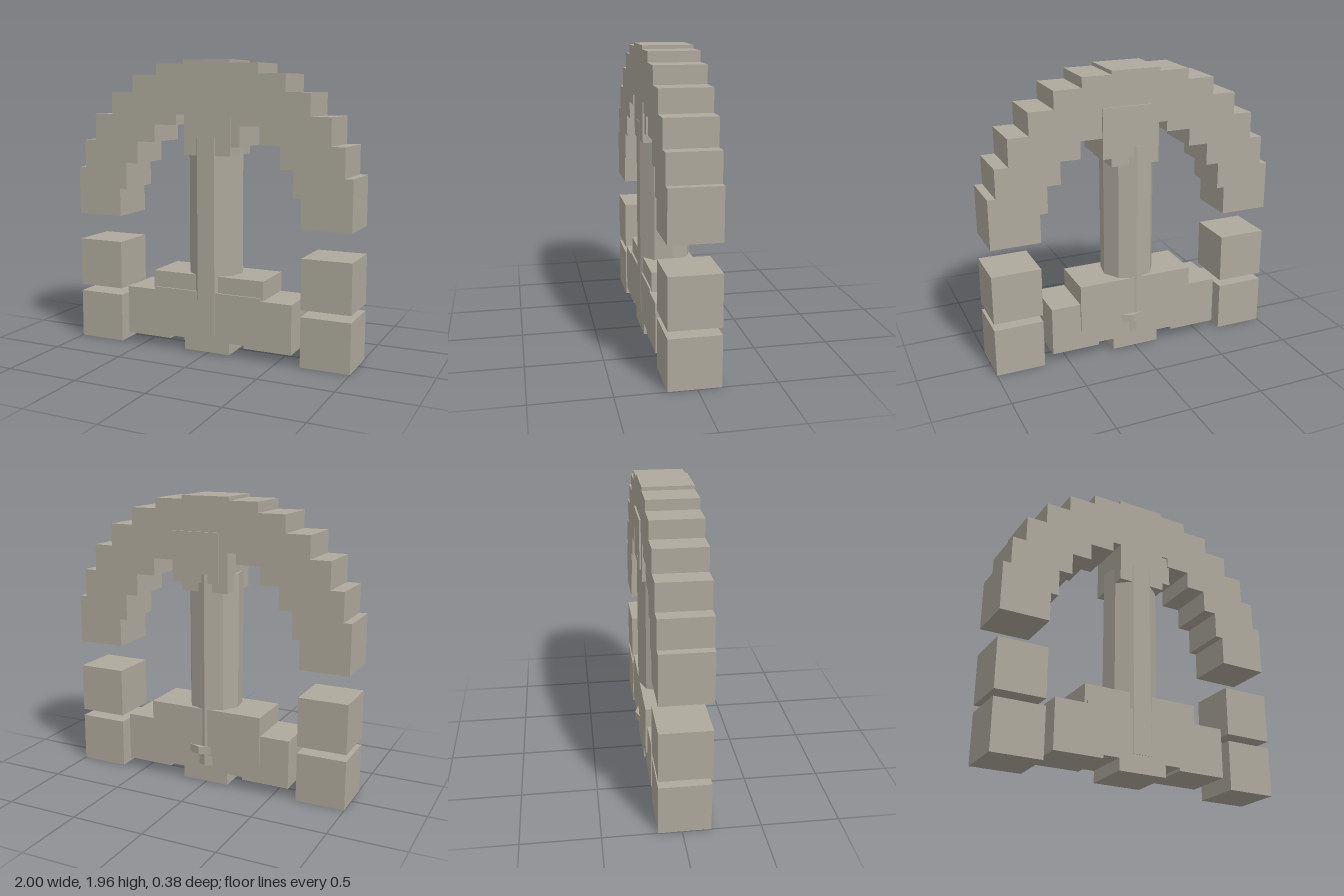
import * as THREE from 'three';

export function createModel() {
  const model = new THREE.Group();
  const stone = new THREE.MeshStandardMaterial({ color: 0xaea99c });
  stone.name = 'warm grey stone';
  const S = 0.333; // edge of one block

  function add(name, geometry, x, y, z) {
    const mesh = new THREE.Mesh(geometry, stone);
    mesh.name = name;
    mesh.position.set(x, y, z);
    model.add(mesh);
    return mesh;
  }
  // block placed by its left edge and bottom edge; z is its centre
  function block(name, left, bottom, z = 0.016, width = S) {
    return add(name, new THREE.BoxGeometry(width, S, S), left + width / 2, bottom + S / 2, z);
  }
  // nine-sided prism with a flat face to the front
  function prism(name, r, bottom, top, x, z) {
    const g = new THREE.CylinderGeometry(r, r, top - bottom, 9).toNonIndexed();
    g.rotateY(Math.PI / 9);
    g.computeVertexNormals();
    return add(name, g, x, (bottom + top) / 2, z);
  }

  // stepped arch, mirrored about the keystone
  const steps = [[-1, 0.897], [-0.947, 1.09], [-0.856, 1.27], [-0.72, 1.42], [-0.555, 1.537], [-0.37, 1.606]];
  for (const [left, bottom] of steps) {
    block('archBlockRight', left, bottom);
    block('archBlockLeft', -left - S - 0.006, bottom);
  }
  block('keystone', -0.167, 1.63);

  // separate blocks below the ends of the arch
  for (const bottom of [0, 0.38]) {
    block('pierBlockRight', -1, bottom);
    block('pierBlockLeft', 1 - S, bottom);
  }

  // head of the column
  block('headBlock', -0.163, 1.34);
  block('headBackBlock', -0.1, 1.4, 0.005);

  // column with a small collar showing at the back
  prism('column', 0.183, 0.13, 1.46, -0.003, 0.014);
  prism('collar', 0.183, 0.215, 0.268, 0.032, -0.008);

  // stepped base
  block('baseCentre', -0.167, 0.01);
  block('baseOuterRight', -0.61, 0.07);
  block('baseOuterLeft', 0.273, 0.07);
  block('baseInnerRight', -0.39, 0.09);
  block('baseInnerLeft', 0.057, 0.09);
  block('baseUpper', -0.406, 0.202, 0.004, 0.81);

  return model;
}
